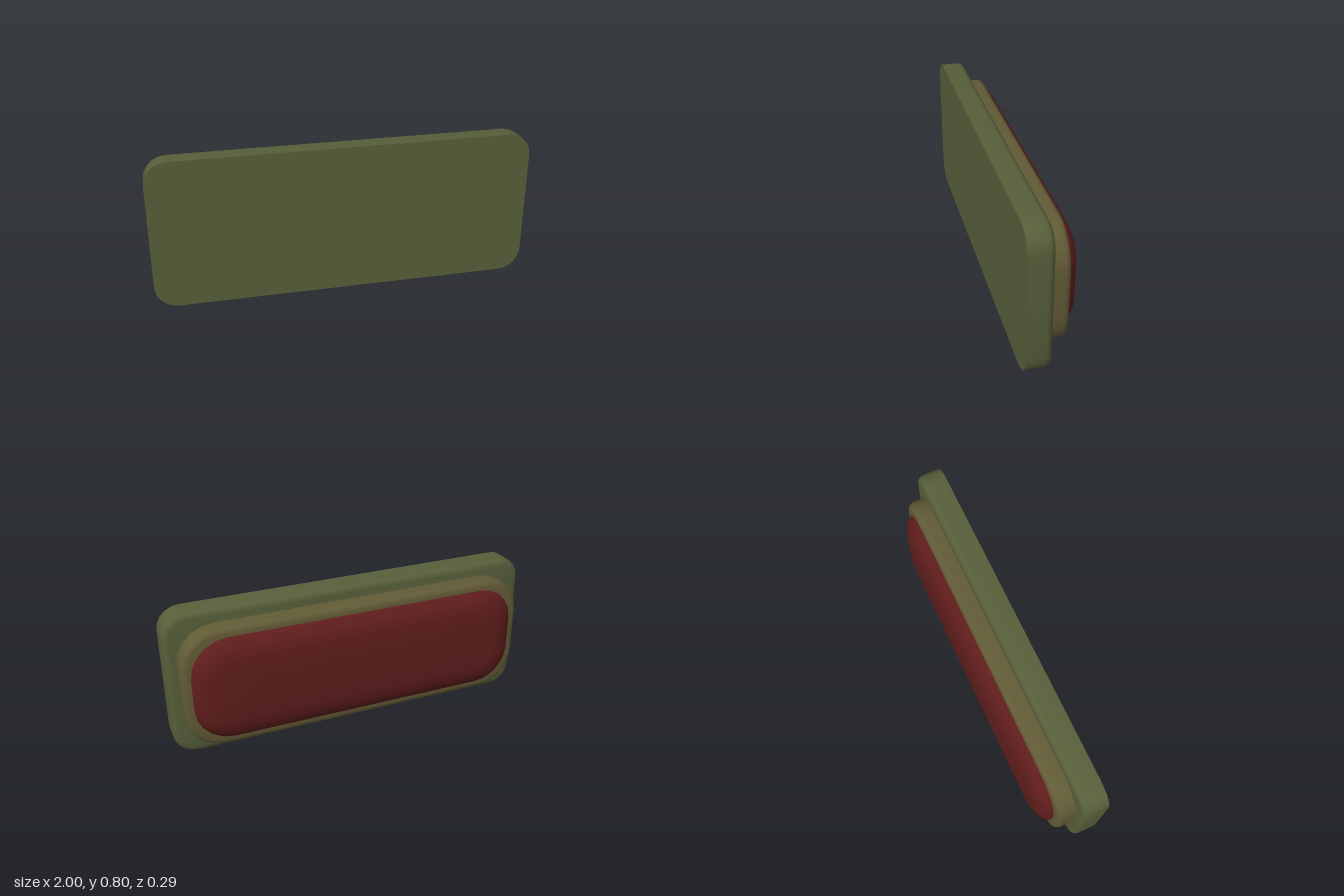
import * as THREE from 'three';
import { toCreasedNormals } from 'three/addons/utils/BufferGeometryUtils.js';

const CORNER_STEPS = 5;
const CENTER_Y = 0.398;

// Counter-clockwise rounded rectangle, seen from the front
function outline(halfX, halfY, radius) {
  const points = [];
  const signs = [[1, 1], [-1, 1], [-1, -1], [1, -1]];
  signs.forEach(([sx, sy], corner) => {
    for (let i = 0; i <= CORNER_STEPS; i++) {
      const a = (corner + i / CORNER_STEPS) * Math.PI / 2;
      points.push([
        sx * (halfX - radius) + radius * Math.cos(a),
        sy * (halfY - radius) + radius * Math.sin(a),
      ]);
    }
  });
  return points;
}

// Closed slab lofted through rounded rectangles; profile = [inset, z] from front to back
function slab(name, color, halfX, halfY, radius, profile) {
  const positions = [];
  const index = [];
  const n = 4 * (CORNER_STEPS + 1);
  for (const [inset, z] of profile) {
    for (const [x, y] of outline(halfX - inset, halfY - inset, radius - inset)) {
      positions.push(x, y, z);
    }
  }
  const last = (profile.length - 1) * n;
  const frontCenter = last + n;
  const backCenter = frontCenter + 1;
  positions.push(0, 0, profile[0][1], 0, 0, profile[profile.length - 1][1]);

  for (let i = 0; i < n; i++) {
    const j = (i + 1) % n;
    for (let k = 0; k < last; k += n) {
      index.push(k + i, k + n + i, k + j, k + j, k + n + i, k + n + j);
    }
    index.push(frontCenter, i, j, backCenter, last + j, last + i);
  }

  const geometry = new THREE.BufferGeometry();
  geometry.setAttribute('position', new THREE.Float32BufferAttribute(positions, 3));
  geometry.setIndex(index);
  const mesh = new THREE.Mesh(
    toCreasedNormals(geometry, 0.7),
    new THREE.MeshStandardMaterial({ color }),
  );
  mesh.name = name;
  mesh.position.y = CENTER_Y;
  return mesh;
}

// Straight side ending in a quarter-round back edge
function roundedBack(front, back, bevel, steps = 4) {
  const profile = [[0, front]];
  for (let i = 0; i <= steps; i++) {
    const a = (i / steps) * Math.PI / 2;
    profile.push([bevel * (1 - Math.cos(a)), back + bevel * (1 - Math.sin(a))]);
  }
  return profile;
}

export function createModel() {
  const model = new THREE.Group();
  model.name = 'layeredPanel';

  // Flat-faced base plate
  model.add(slab('basePlate', 0x575f3a, 1, 0.398, 0.12, roundedBack(0.145, 0.015, 0.035)));

  // Stepped middle plate
  model.add(slab('middlePlate', 0x625b36, 0.945, 0.33, 0.2, roundedBack(0.015, -0.077, 0.032)));

  // Domed pad on the back
  model.add(slab('backPad', 0x5f1d1c, 0.9, 0.286, 0.2, [
    [0, -0.075], [0.012, -0.092], [0.028, -0.109], [0.052, -0.124],
    [0.082, -0.135], [0.115, -0.142], [0.15, -0.145],
  ]));

  return model;
}
